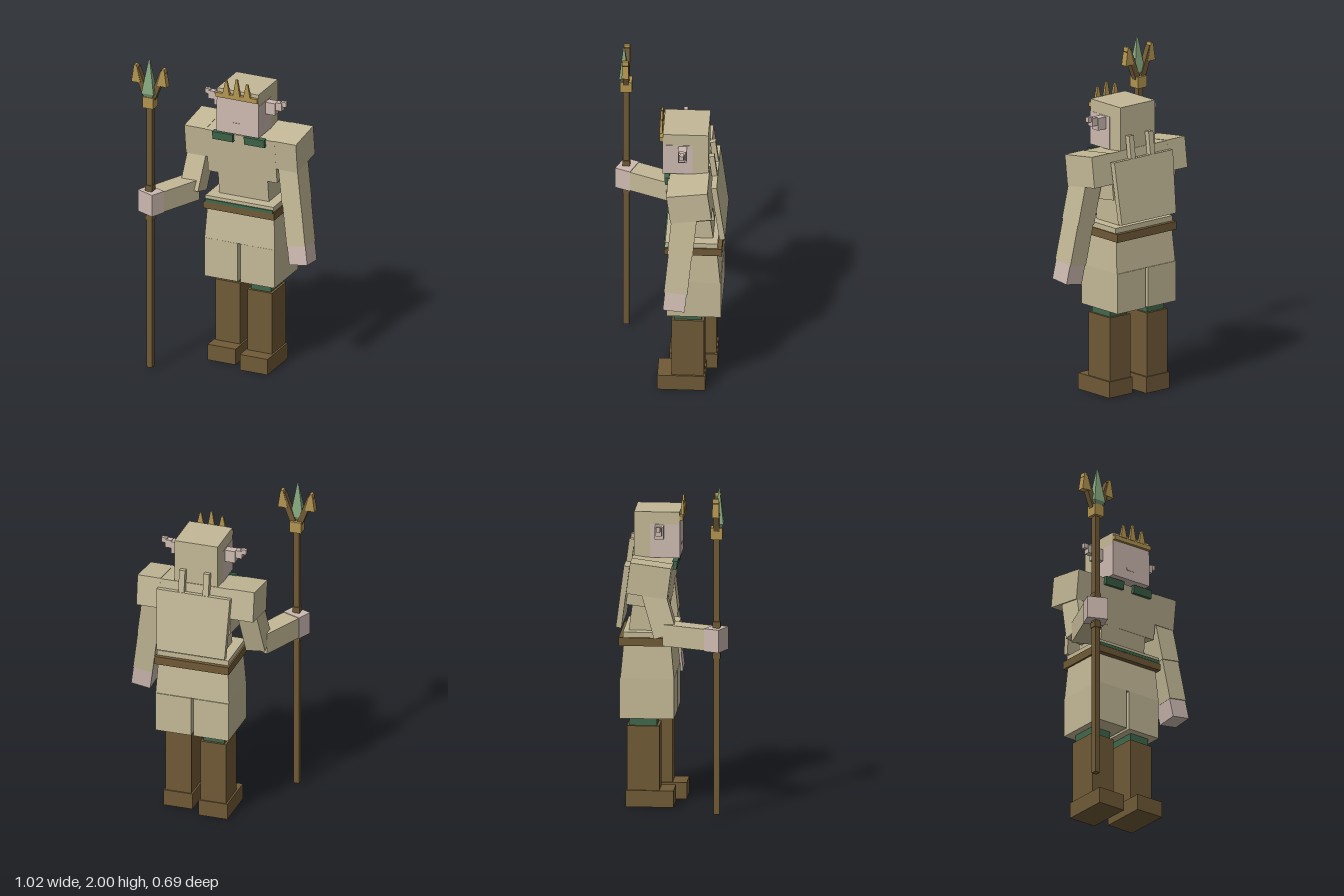
import * as THREE from 'three';

const paint = (name, color) => {
  const m = new THREE.MeshStandardMaterial({ color });
  m.name = name;
  return m;
};

export function createModel() {
  const root = new THREE.Group();
  const cloth = paint('beige cloth', 0xc4b997);
  const skin = paint('pale skin', 0xcdbab1);
  const leather = paint('brown leather', 0x705a37);
  const green = paint('dark green', 0x40684c);
  const blade = paint('light green', 0x86a77f);
  const gold = paint('gold', 0xb29450);
  const MID = 0.06; // body centre line
  const LEAN = 0.13; // forward lean of the upper body

  const add = (name, geo, mat) => {
    const m = new THREE.Mesh(geo, mat);
    m.name = name;
    root.add(m);
    return m;
  };
  // box from its extents, with the top optionally scaled in x and z
  const box = (name, mat, [x0, x1], [y0, y1], [z0, z1], topX = 1, topZ = topX) => {
    const g = new THREE.BoxGeometry(x1 - x0, y1 - y0, z1 - z0);
    const p = g.attributes.position;
    for (let i = 0; i < p.count; i++) {
      if (p.getY(i) > 0) p.setXYZ(i, p.getX(i) * topX, p.getY(i), p.getZ(i) * topZ);
    }
    g.computeVertexNormals();
    const m = add(name, g, mat);
    m.position.set((x0 + x1) / 2, (y0 + y1) / 2, (z0 + z1) / 2);
    return m;
  };
  // leaning box from its centre and size
  const leaning = (name, mat, [x, y, z], [w, h, d], topX = 1) => {
    const m = box(name, mat, [x - w / 2, x + w / 2], [y - h / 2, y + h / 2], [z - d / 2, z + d / 2], topX, 1);
    m.rotation.x = LEAN;
    return m;
  };
  // straight limb from a to b
  const limb = (name, mat, a, b, w, d, up) => {
    const from = new THREE.Vector3(...a), to = new THREE.Vector3(...b);
    const m = add(name, new THREE.BoxGeometry(w, d, from.distanceTo(to)), mat);
    m.up.set(...up);
    m.position.copy(from).add(to).multiplyScalar(0.5);
    m.lookAt(to);
    return m;
  };

  // legs, the left one a little ahead
  for (const [side, x, z] of [['right', -0.06, -0.06], ['left', 0.178, 0]]) {
    box(side + 'Foot', leather, [x - 0.091, x + 0.091], [0, 0.1], [z - 0.225, z + 0.06]);
    box(side + 'Boot', leather, [x - 0.08, x + 0.08], [0.1, 0.49], [z - 0.218, z - 0.025]);
    box(side + 'Sock', green, [x - 0.066, x + 0.066], [0.49, 0.55], [z - 0.203, z - 0.04]);
  }
  box('rightTrouserLeg', cloth, [-0.17, 0.048], [0.54, 0.785], [-0.32, 0.005]);
  box('leftTrouserLeg', cloth, [0.066, 0.288], [0.54, 0.785], [-0.32, 0.005]);
  box('hips', cloth, [-0.17, 0.288], [0.785, 0.98], [-0.315, 0.004], 0.955, 0.89);

  // belt and shirt
  box('belt', leather, [-0.172, 0.291], [0.98, 1.03], [-0.325, 0]);
  box('beltFront', leather, [-0.172, 0.291], [0.98, 1.022], [-0.01, 0.018]);
  box('sash', green, [-0.16, 0.282], [1.022, 1.042], [-0.02, 0.02]);
  box('shirtHem', cloth, [-0.162, 0.284], [1.03, 1.062], [-0.3, 0.012]);
  leaning('waist', cloth, [MID, 1.13, -0.155], [0.325, 0.18, 0.21]);
  leaning('chest', cloth, [MID, 1.355, -0.142], [0.45, 0.282, 0.246]);
  for (const [side, x] of [['right', -0.047], ['left', 0.16]]) {
    leaning(side + 'CollarPatch', green, [x, 1.46, 0.002], [0.133, 0.05, 0.03]);
  }

  // cape panel with two straps
  leaning('cape', cloth, [MID, 1.274, -0.302], [0.425, 0.38, 0.034], 1.08);
  for (const x of [-0.015, 0.137]) {
    leaning('capeStrap', cloth, [x, 1.48, -0.272], [0.036, 0.24, 0.033]);
  }

  // head, hood and face
  box('hood', cloth, [-0.075, 0.195], [1.5, 1.775], [-0.24, 0.03]);
  box('face', skin, [-0.077, 0.197], [1.498, 1.7], [-0.145, 0.032]);
  box('brow', skin, [-0.075, 0.195], [1.7, 1.728], [0.029, 0.032]);
  box('mouth', skin, [0.025, 0.08], [1.556, 1.57], [0.03, 0.035]);
  for (const s of [-1, 1]) {
    const ear = [[0.135, 0.2, 1.62, 1.695, 0.026], [0.2, 0.24, 1.65, 1.7, 0.019], [0.23, 0.265, 1.677, 1.708, 0.012]];
    for (const [a, b, y0, y1, d] of ear) {
      const xs = [MID + s * a, MID + s * b].sort((p, q) => p - q);
      box(s < 0 ? 'rightEar' : 'leftEar', skin, xs, [y0, y1], [-0.088 - d, -0.088 + d]);
    }
  }

  // crown
  box('crownBand', gold, [-0.075, 0.195], [1.725, 1.753], [0.028, 0.05]);
  for (const [x, top] of [[-0.008, 1.835], [MID, 1.855], [0.128, 1.835]]) {
    box('crownSpike', gold, [x - 0.023, x + 0.023], [1.75, top], [0.033, 0.053], 0.25, 0.6);
  }

  // left arm, hanging
  const down = [0, 0, 1], flat = [0, 1, 0];
  leaning('leftSleeve', cloth, [0.353, 1.404, -0.136], [0.143, 0.188, 0.246]);
  limb('leftUpperArm', cloth, [0.35, 1.36, -0.112], [0.393, 1.08, -0.085], 0.125, 0.15, down);
  limb('leftForearm', cloth, [0.393, 1.08, -0.085], [0.431, 0.83, -0.061], 0.122, 0.14, down);
  limb('leftHand', skin, [0.431, 0.83, -0.061], [0.449, 0.715, -0.05], 0.12, 0.13, down);

  // right arm, reaching forward
  leaning('rightSleeve', cloth, [-0.235, 1.404, -0.136], [0.141, 0.188, 0.246]);
  limb('rightUpperArm', cloth, [-0.232, 1.36, -0.12], [-0.262, 1.07, -0.035], 0.12, 0.14, down);
  limb('rightForearm', cloth, [-0.264, 1.081, -0.03], [-0.375, 1.081, 0.228], 0.12, 0.13, flat);
  limb('rightHand', skin, [-0.375, 1.081, 0.228], [-0.413, 1.081, 0.317], 0.125, 0.138, flat);

  // staff
  const SX = -0.396, SZ = 0.277;
  const onStaff = (name, mat, w, ys, d = w, topX = 1) =>
    box(name, mat, [SX - w / 2, SX + w / 2], ys, [SZ - d / 2, SZ + d / 2], topX);
  onStaff('staffPole', leather, 0.036, [0.02, 1.7]);
  onStaff('staffRing', leather, 0.046, [1.155, 1.19]);
  onStaff('staffRing', leather, 0.046, [0.965, 1.0]);
  onStaff('staffSocket', gold, 0.07, [1.69, 1.76]);

  // spear head: prongs and central blade
  for (const s of [-1, 1]) {
    limb('prong', leather, [SX + s * 0.018, 1.745, SZ], [SX + s * 0.088, 1.93, SZ], 0.036, 0.036, [0, 0, 1]);
    const tip = box('prongTip', gold, [SX + s * 0.088 - 0.03, SX + s * 0.088 + 0.03], [1.84, 1.95],
      [SZ - 0.02, SZ + 0.022], 0.25, 0.9);
    tip.rotation.z = -s * 0.05;
  }
  const head = new THREE.Group();
  head.name = 'spearBlade';
  // four-sided blade, widest just above the socket
  const profile = [[0.0, 1.745], [0.02, 1.745], [0.056, 1.785], [0.005, 2.0], [0, 2.0]];
  const bladeGeo = new THREE.LatheGeometry(profile.map(([r, y]) => new THREE.Vector2(r, y)), 4, Math.PI / 4).toNonIndexed();
  bladeGeo.scale(1, 1, 0.7);
  bladeGeo.computeVertexNormals();
  const bladeMesh = new THREE.Mesh(bladeGeo, blade);
  bladeMesh.name = 'blade';
  head.add(bladeMesh);
  head.position.set(SX, 0, 0.291);
  root.add(head);

  return root;
}
